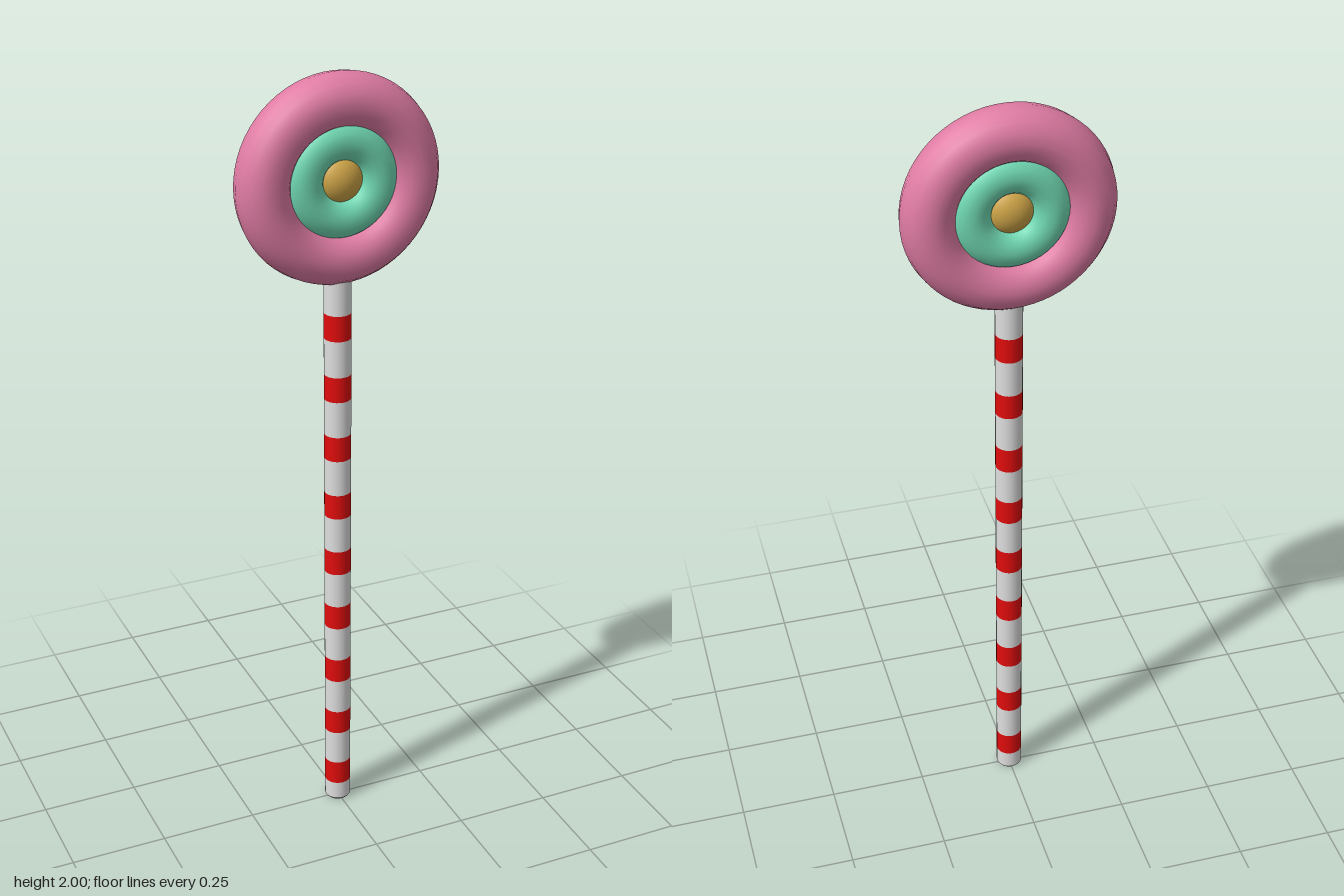
import * as THREE from 'three';

const mat = (name, color) => {
  const m = new THREE.MeshStandardMaterial({ color });
  m.name = name;
  return m;
};

export function createModel() {
  const model = new THREE.Group();
  const pink = mat('pink candy', 0xe07ca4);
  const mint = mat('mint candy', 0x72dcb6);
  const gold = mat('gold candy', 0xd0a648);
  const white = mat('white stick', 0xdedede);
  const red = mat('red stripe', 0xe00c0c);

  const add = (parent, name, geometry, material, y = 0) => {
    const mesh = new THREE.Mesh(geometry, material);
    mesh.name = name;
    mesh.position.y = y;
    parent.add(mesh);
    return mesh;
  };

  // Candy head: two nested rings around a flattened centre
  const head = new THREE.Group();
  head.name = 'candyHead';
  head.position.y = 1.743;
  model.add(head);
  add(head, 'outerRing', new THREE.TorusGeometry(0.19, 0.067, 16, 64), pink);
  add(head, 'innerRing', new THREE.TorusGeometry(0.095, 0.055, 16, 48), mint, 0.004);
  add(head, 'candyCentre', new THREE.SphereGeometry(0.063, 32, 20), gold, 0.004).scale.z = 0.8;

  // Stick: white and red sections stacked end to end
  const stick = new THREE.Group();
  stick.name = 'stick';
  model.add(stick);
  const R = 0.034, STEP = 0.161, BAND = 0.066, FIRST = 0.056, TOP = 1.52;
  const section = (name, y0, y1, material) =>
    add(stick, name, new THREE.CylinderGeometry(R, R, y1 - y0, 24, 1, true), material, (y0 + y1) / 2);

  // Bevelled foot with a closed bottom
  const foot = [[0, 0], [R - 0.006, 0], [R - 0.006, 0], [R, 0.007]].map(([x, y]) => new THREE.Vector2(x, y));
  add(stick, 'stickFoot', new THREE.LatheGeometry(foot, 24), white);

  let y = 0.007;
  for (let i = 0; i < 9; i++) {
    const start = FIRST + i * STEP;
    section('stickSection', y, start, white);
    section('redStripe', start, start + BAND, red);
    y = start + BAND;
  }
  section('stickTop', y, TOP, white);

  return model;
}
